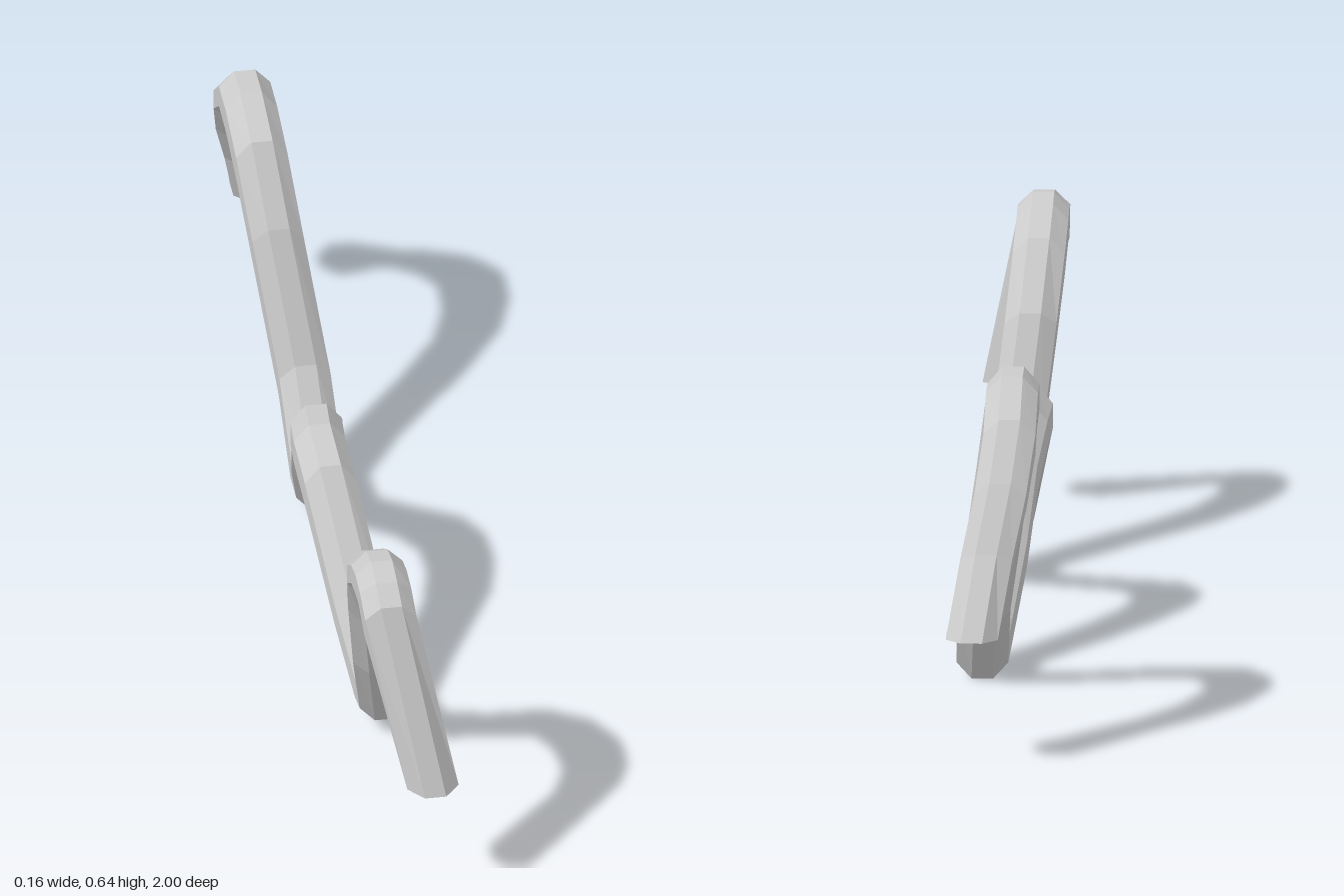
import * as THREE from 'three';

// Stations along the tube: [centre x, upper z, upper y, lower z, lower y]
const STATIONS = [
  [0.03, 1.0, 0.225, 0.9, 0.235],
  [-0.033, 0.9, 0.57, 0.88, 0.48],
  [-0.036, 0.865, 0.6, 0.825, 0.52],
  [-0.036, 0.81, 0.61, 0.79, 0.513],
  [-0.036, 0.76, 0.6, 0.755, 0.505],
  [-0.032, 0.69, 0.555, 0.69, 0.46],
  [-0.02, 0.6, 0.44, 0.64, 0.365],
  [0.0, 0.53, 0.27, 0.57, 0.21],
  [0.028, 0.455, 0.13, 0.46, 0.035],
  [0.03, 0.39, 0.11, 0.39, 0.015],
  [0.008, 0.31, 0.21, 0.31, 0.115],
  [-0.025, 0.18, 0.395, 0.18, 0.285],
  [-0.032, 0.1, 0.432, 0.1, 0.325],
  [-0.025, 0.02, 0.42, 0.02, 0.31],
  [-0.01, -0.06, 0.36, -0.06, 0.245],
  [0.005, -0.15, 0.24, -0.15, 0.135],
  [0.028, -0.24, 0.12, -0.24, 0.02],
  [0.032, -0.325, 0.105, -0.33, 0.005],
  [0.025, -0.4, 0.22, -0.42, 0.125],
  [-0.01, -0.48, 0.46, -0.51, 0.37],
  [-0.028, -0.555, 0.6, -0.565, 0.495],
  [-0.034, -0.635, 0.65, -0.63, 0.543],
  [-0.034, -0.71, 0.65, -0.71, 0.55],
  [-0.032, -0.785, 0.59, -0.78, 0.5],
  [-0.018, -0.85, 0.49, -0.84, 0.42],
  [0.005, -0.91, 0.375, -0.88, 0.335],
  [0.028, -1.0, 0.235, -0.905, 0.235],
];
const SIDES = 8;
const HALF_WIDTH = 0.046;

function createTubeGeometry() {
  const positions = [];
  const indices = [];
  const grow = 1 / Math.cos(Math.PI / SIDES); // flats touch the upper and lower points

  // Rings of the cross-section
  for (const [x, z1, y1, z2, y2] of STATIONS) {
    for (let j = 0; j < SIDES; j++) {
      const a = ((j + 0.5) / SIDES) * Math.PI * 2;
      const c = (Math.cos(a) * grow) / 2;
      positions.push(
        x + HALF_WIDTH * grow * Math.sin(a),
        (y1 + y2) / 2 + (y1 - y2) * c,
        (z1 + z2) / 2 + (z1 - z2) * c
      );
    }
  }

  // Walls between neighbouring rings
  const last = (STATIONS.length - 1) * SIDES;
  for (let i = 0; i < last; i += SIDES) {
    for (let j = 0; j < SIDES; j++) {
      const k = (j + 1) % SIDES;
      indices.push(i + j, i + k, i + SIDES + j);
      indices.push(i + k, i + SIDES + k, i + SIDES + j);
    }
  }

  // Flat end caps
  for (let j = 1; j < SIDES - 1; j++) {
    indices.push(0, j + 1, j);
    indices.push(last, last + j, last + j + 1);
  }

  const geometry = new THREE.BufferGeometry();
  geometry.setAttribute('position', new THREE.Float32BufferAttribute(positions, 3));
  geometry.setIndex(indices);
  geometry.computeVertexNormals();
  return geometry;
}

export function createModel() {
  const group = new THREE.Group();
  group.name = 'wavyTube';
  const material = new THREE.MeshStandardMaterial({ color: 0xcccccc, flatShading: true });
  const tube = new THREE.Mesh(createTubeGeometry(), material);
  tube.name = 'tube';
  group.add(tube);
  return group;
}
